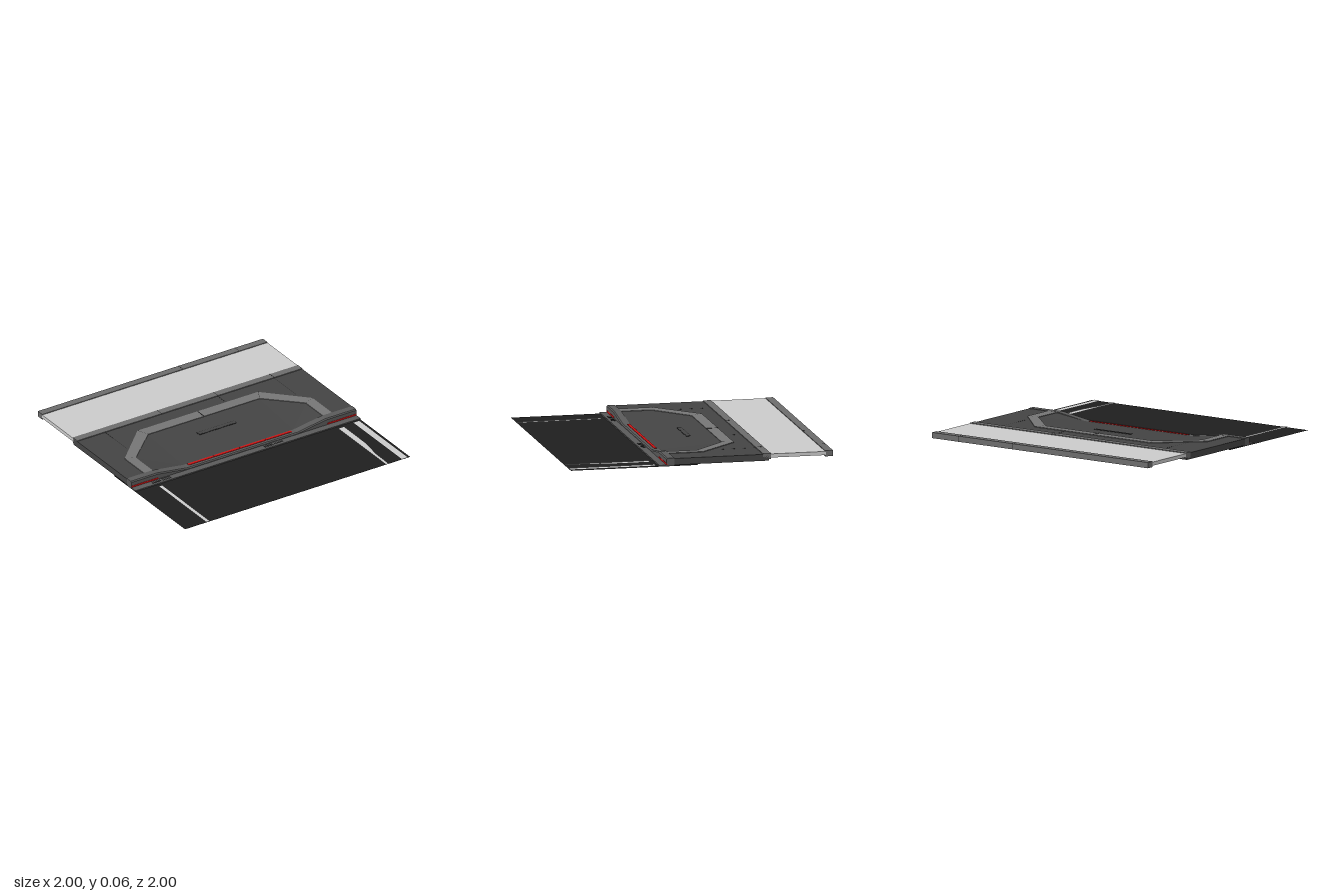
import * as THREE from 'three';

const paint = (color) => new THREE.MeshStandardMaterial({ color, flatShading: true, side: THREE.DoubleSide });

export function createModel() {
  const model = new THREE.Group();
  const grey = paint(0xcccccc), road = paint(0x1f1f1f), deck = paint(0x444444), rail = paint(0x6c6c6c);
  const trim = paint(0x757575), kerb = paint(0x5a5a5a), red = paint(0xcc1212), seam = paint(0x262626);

  const add = (name, geometry, material) => {
    const mesh = new THREE.Mesh(geometry, material);
    mesh.name = name;
    model.add(mesh);
    return mesh;
  };
  // box given by its limits on each axis
  const box = (name, mat, x0, x1, y0, y1, z0, z1) =>
    add(name, new THREE.BoxGeometry(x1 - x0, y1 - y0, z1 - z0), mat)
      .position.set((x0 + x1) / 2, (y0 + y1) / 2, (z0 + z1) / 2);
  // flat outline of [x, z] points laid level at height y
  const slab = (name, mat, outline, y) => {
    const shape = new THREE.Shape(outline.map(([x, z]) => new THREE.Vector2(x, -z)));
    add(name, new THREE.ShapeGeometry(shape).rotateX(-Math.PI / 2).translate(0, y, 0), mat);
  };
  // convex polygons of [x, y, z] corners, fanned into triangles
  const panels = (name, mat, polygons) => {
    const pos = [];
    for (const p of polygons)
      for (let i = 1; i < p.length - 1; i++) pos.push(...p[0], ...p[i], ...p[i + 1]);
    const g = new THREE.BufferGeometry();
    g.setAttribute('position', new THREE.Float32BufferAttribute(pos, 3));
    g.computeVertexNormals();
    add(name, g, mat);
  };

  // road with painted lines
  slab('road', road, [[-1, 1], [1, 1], [1, 0.03], [-1, 0.03]], 0);
  slab('thinLine', grey, [[-0.81, 1], [-0.785, 1], [-0.785, 0.36], [-0.81, 0.36]], 0.005);
  slab('taperedLine', grey,
    [[0.785, 1], [0.803, 1], [0.805, 0.83], [0.83, 0.66], [0.83, 0.36], [0.785, 0.36]], 0.005);
  slab('wideLine', grey, [[0.925, 1], [0.975, 1], [0.975, 0.345], [0.925, 0.345]], 0.005);

  // gutter with two pairs of drain grates
  box('gutter', kerb, -1, 1, 0.001, 0.01, 0.21, 0.325);
  for (const start of [-0.83, -0.74, 0.165, 0.255])
    for (let i = 0; i < 6; i++) {
      const x = start + i * 0.0135;
      box('grateSlot', seam, x, x + 0.007, 0.009, 0.0112, 0.277, 0.306);
    }

  // kerb: a chamfered section that dips in the middle
  const stations = [[-1, 0.061], [-0.77, 0.061], [-0.5, 0.022], [0.48, 0.022], [0.73, 0.061], [1, 0.061]];
  const sections = stations.map(([x, h]) => [
    [x, 0.006, 0.21], [x, h, 0.21], [x, h, 0.262], [x, h - 0.008, 0.27], [x, 0.006, 0.27]]);
  const kerbFaces = [[...sections[0]].reverse(), sections[5]];
  for (let s = 0; s < 5; s++)
    for (let i = 0; i < 5; i++) {
      const j = (i + 1) % 5, a = sections[s], b = sections[s + 1];
      kerbFaces.push([a[i], a[j], b[j], b[i]]);
    }
  panels('kerb', kerb, kerbFaces);

  // lights: strip in the dip and low reflectors at both ends
  for (let i = 0; i < 4; i++) {
    const x = -0.468 + i * 0.23;
    box('lightStrip', red, x, x + 0.226, 0.02, 0.025, 0.216, 0.238);
  }
  box('rightReflector', red, -1, -0.76, 0.011, 0.024, 0.265, 0.272);
  box('leftReflector', red, 0.745, 1, 0.011, 0.024, 0.265, 0.272);

  // raised deck around the sunken ramp
  const outer = [[-0.85, 0.21], [-0.85, -0.05], [-0.54, -0.35], [0.53, -0.35], [0.82, -0.05], [0.82, 0.21]];
  const inner = [[-0.77, 0.21], [-0.77, -0.02], [-0.5, -0.265], [0.49, -0.265], [0.74, -0.02], [0.74, 0.21]];
  slab('deck', deck, [[-1, 0.21], ...inner, [1, 0.21], [1, -0.5], [-1, -0.5]], 0.057);
  for (const x of [-0.998, 0.998])
    box('deckSide', deck, x - 0.002, x + 0.002, 0.008, 0.057, -0.51, 0.21);
  box('deckBack', deck, -1, 1, 0.008, 0.03, -0.512, -0.506);
  for (const x of [-0.75, 0.25, 0.75])
    box('deckSeam', seam, x - 0.0015, x + 0.0015, 0.0565, 0.0575, -0.47, x === 0.25 ? -0.35 : -0.17);

  // bevelled frame
  const at = ([x, z], y) => [x, y, z];
  const frame = [];
  for (let i = 0; i < 5; i++) {
    const a = outer[i], b = outer[i + 1], c = inner[i + 1], d = inner[i];
    frame.push([at(a, 0.062), at(d, 0.059), at(c, 0.059), at(b, 0.062)]);
    frame.push([at(a, 0.057), at(a, 0.062), at(b, 0.062), at(b, 0.057)]);
    frame.push([at(d, 0.059), at(d, 0.054), at(c, 0.054), at(c, 0.059)]);
    // mitre seam at each corner
    if (i < 4) {
      const w = 0.003;
      panels('mitreSeam', seam, [[at(b, 0.0626), [b[0] + w, 0.0626, b[1]].slice(),
        [c[0] + w, 0.0596, c[1]], at(c, 0.0596)]]);
    }
  }
  panels('frame', trim, frame);
  box('frameSeam', seam, -0.007, -0.003, 0.059, 0.0625, -0.35, -0.265);

  // sunken ramp falling towards the kerb, with folded sides
  const hi = 0.055, lo = 0.022;
  const lowRight = [-0.5, lo, 0.21], lowLeft = [0.48, lo, 0.21];
  const [i0, i1, i2, i3, i4, i5] = inner.map((p) => at(p, hi));
  panels('ramp', deck, [
    [i2, lowRight, lowLeft, i3],
    [i1, i0, lowRight], [i1, lowRight, i2],
    [i4, lowLeft, i5], [i4, i3, lowLeft],
  ]);

  // long slot in the ramp, tilted to its slope
  const slope = Math.atan2(hi - lo, 0.475);
  const slot = (name, mat, w, d, lift) => {
    const m = add(name, new THREE.BoxGeometry(w, 0.003, d), mat);
    m.position.set(-0.005, 0.0435 + lift, -0.09);
    m.rotation.x = slope;
  };
  slot('slotRim', seam, 0.335, 0.036, 0);
  slot('slotCover', deck, 0.327, 0.028, 0.001);

  // two rails with the pale panel between them
  box('panel', grey, -1, 1, 0.03, 0.058, -0.945, -0.52);
  const railBar = (z0, z1, seams) => {
    box('rail', rail, -1, 1, 0.02, 0.063, z0, z1);
    for (const x of seams) box('railSeam', seam, x - 0.002, x + 0.002, 0.0195, 0.0635, z0 - 0.0002, z1);
  };
  railBar(-0.525, -0.465, [-0.25, 0.25, 0.75]);
  railBar(-0.9998, -0.94, [0.25, 0.75]);

  return model;
}
